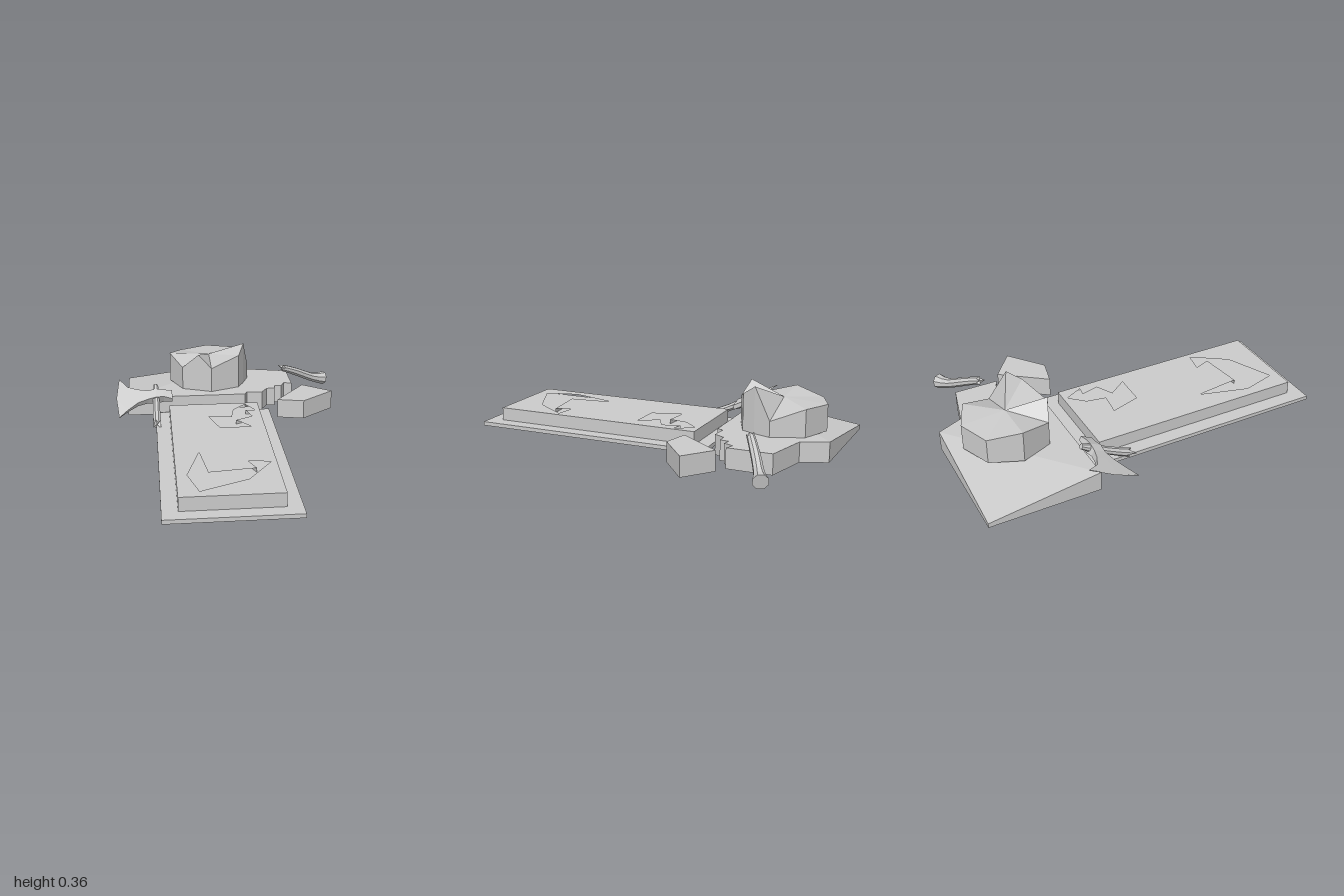
import * as THREE from 'three';

const V = (x, y, z) => new THREE.Vector3(x, y, z);
const material = new THREE.MeshStandardMaterial({ color: 0xcccccc, flatShading: true });

function part(name, geometry) {
  const mesh = new THREE.Mesh(geometry, material);
  mesh.name = name;
  return mesh;
}

// Upright prism from a floor plan of [x, z] points, with optional holes
function prism(plan, y0, y1, holes = []) {
  const toPoints = (list) => list.map(([x, z]) => new THREE.Vector2(x, -z));
  const shape = new THREE.Shape(toPoints(plan));
  holes.forEach((h) => shape.holes.push(new THREE.Path(toPoints(h))));
  return new THREE.ExtrudeGeometry(shape, { depth: y1 - y0, bevelEnabled: false })
    .rotateX(-Math.PI / 2)
    .translate(0, y0, 0);
}

const rect = (x0, x1, z0, z1) => [[x0, z0], [x1, z0], [x1, z1], [x0, z1]];

// Skin a list of rings; both ends are closed with a fan
function loft(rings, apex) {
  const pos = [];
  const tri = (...pts) => pts.forEach((p) => pos.push(p.x, p.y, p.z));
  const middle = (ring) => ring.reduce((s, p) => s.add(p), V(0, 0, 0)).divideScalar(ring.length);
  const n = rings[0].length;
  const last = rings[rings.length - 1];
  const startMid = middle(rings[0]);
  const endMid = apex || middle(last);
  for (let j = 0; j < n; j++) {
    const k = (j + 1) % n;
    for (let i = 0; i < rings.length - 1; i++) {
      const [a, b] = [rings[i], rings[i + 1]];
      tri(a[j], a[k], b[k]);
      tri(a[j], b[k], b[j]);
    }
    tri(rings[0][k], rings[0][j], startMid);
    tri(last[j], last[k], endMid);
  }
  const g = new THREE.BufferGeometry();
  g.setAttribute('position', new THREE.Float32BufferAttribute(pos, 3));
  g.computeVertexNormals();
  return g;
}

// Eight-sided wooden shaft whose first end is splintered
function shaft(points, radii, jag) {
  const curve = new THREE.CatmullRomCurve3(points);
  const rings = radii.map((r, i) => {
    const t = i / (radii.length - 1);
    const c = curve.getPoint(t);
    const dir = curve.getTangent(t);
    const e1 = V(0, 1, 0).cross(dir).normalize();
    const e2 = dir.clone().cross(e1);
    return Array.from({ length: 8 }, (_, j) => {
      const a = ((j + 0.5) / 8) * Math.PI * 2;
      const p = c.clone().addScaledVector(e1, r * Math.cos(a)).addScaledVector(e2, r * Math.sin(a));
      if (i === 0) p.addScaledVector(dir, jag[j % jag.length]);
      p.y = Math.max(p.y, 0.004);
      return p;
    });
  });
  return loft(rings);
}

export function createModel() {
  const model = new THREE.Group();

  // Long slab: thin footing, floor of the carvings, and the pierced top layer
  const carvings = [
    [[-0.23, 0.41], [-0.2, 0.66], [0.045, 0.63], [0.01, 0.54], [0.125, 0.56],
      [-0.005, 0.75], [-0.255, 0.865], [-0.305, 0.68]],
    [[0.08, -0.26], [0.13, -0.16], [0.075, -0.17], [0.1, -0.07], [0.005, -0.02],
      [0.08, 0.085], [-0.095, 0.08], [-0.145, -0.085], [-0.015, -0.07], [0.005, -0.18]],
  ];
  const slab = new THREE.Group();
  slab.name = 'slab';
  const block = rect(-0.36, 0.155, -0.285, 0.92);
  slab.add(part('slabFooting', prism(rect(-0.44, 0.235, -0.365, 1), 0, 0.022)));
  slab.add(part('slabCore', prism(block, 0.022, 0.07)));
  slab.add(part('carvedTop', prism(block, 0.07, 0.095, carvings)));
  model.add(slab);

  // Plinth with a broken front right edge
  model.add(part('plinth', prism([
    [-0.6, -0.395], [0.09, -1], [0.15, -0.86], [0.4, -0.8], [0.4, -0.555], [0.355, -0.575],
    [0.33, -0.52], [0.29, -0.53], [0.285, -0.48], [0.235, -0.48], [0.2, -0.42],
    [0.11, -0.43], [0.095, -0.395],
  ], 0, 0.11)));

  // Back corner of the plinth, sloping down to a low point
  const corner = prism([[-0.6, -0.395], [-0.6, -1], [0.09, -1]], 0, 0.11);
  const cp = corner.attributes.position;
  for (let i = 0; i < cp.count; i++) {
    if (cp.getX(i) < -0.59 && cp.getZ(i) < -0.99 && cp.getY(i) > 0.1) cp.setY(i, 0.025);
  }
  corner.computeVertexNormals();
  model.add(part('plinthCorner', corner));

  // Piece broken off the plinth
  model.add(part('brokenChunk', prism(
    [[0.46, -0.525], [0.62, -0.4], [0.425, -0.245], [0.275, -0.28]], 0, 0.11)));

  // Octagonal stump with a ragged top: [x, z, height]
  const rim = [
    [-0.1, -0.455, 0.255], [0.07, -0.525, 0.31], [0.105, -0.6, 0.362], [0.14, -0.695, 0.195],
    [0.07, -0.865, 0.26], [-0.1, -0.935, 0.255], [-0.27, -0.865, 0.25], [-0.34, -0.695, 0.285],
    [-0.27, -0.525, 0.245], [-0.175, -0.487, 0.333],
  ];
  model.add(part('brokenStump', loft([
    rim.map(([x, z]) => V(x, 0.11, z)),
    rim.map(([x, z, y]) => V(x, y, z)),
  ], V(-0.1, 0.272, -0.695))));

  // Axe leaning on the plinth; head stations: [x, top, bottom, half thickness, edge bulge]
  const axe = new THREE.Group();
  axe.name = 'axe';
  const up = V(0, 0.447, -0.894);
  const out = V(0, 0.894, 0.447);
  const stations = [
    [-0.65, 0.151, -0.157, 0.002, 0.016], [-0.6, 0.078, -0.106, 0.008, 0.006],
    [-0.54, 0.05, -0.056, 0.014, 0], [-0.48, 0.035, -0.033, 0.018, 0],
    [-0.435, 0.04, -0.028, 0.028, 0], [-0.39, 0.035, -0.02, 0.022, 0],
    [-0.34, 0.04, -0.03, 0.012, 0],
  ];
  axe.add(part('axeHead', loft(stations.map(([x, top, bot, t, bulge]) => {
    const mid = (top + bot) / 2;
    const at = (v, s, dx = 0) =>
      V(x - dx, 0.127, -0.35).addScaledVector(up, v).addScaledVector(out, s * t);
    return [at(bot, -1), at(mid, -1, bulge), at(top, -1), at(top, 1), at(mid, 1, bulge), at(bot, 1)];
  }))));
  axe.add(part('axeHandle', shaft(
    [V(-0.435, 0.034, -0.15), V(-0.435, 0.08, -0.255), V(-0.435, 0.13, -0.35), V(-0.435, 0.17, -0.425)],
    [0.024, 0.023, 0.021, 0.022, 0.021, 0.015], [-0.035, 0.02, -0.01, 0.025])));
  model.add(axe);

  // Other half of the handle, curved and flared at the butt
  model.add(part('brokenHandle', shaft(
    [V(0.355, 0.175, -0.667), V(0.43, 0.14, -0.71), V(0.51, 0.096, -0.755),
      V(0.58, 0.062, -0.79), V(0.645, 0.047, -0.82)],
    [0.021, 0.023, 0.025, 0.026, 0.027, 0.032, 0.042], [-0.02, 0.015, -0.005, 0.02])));

  return model;
}
